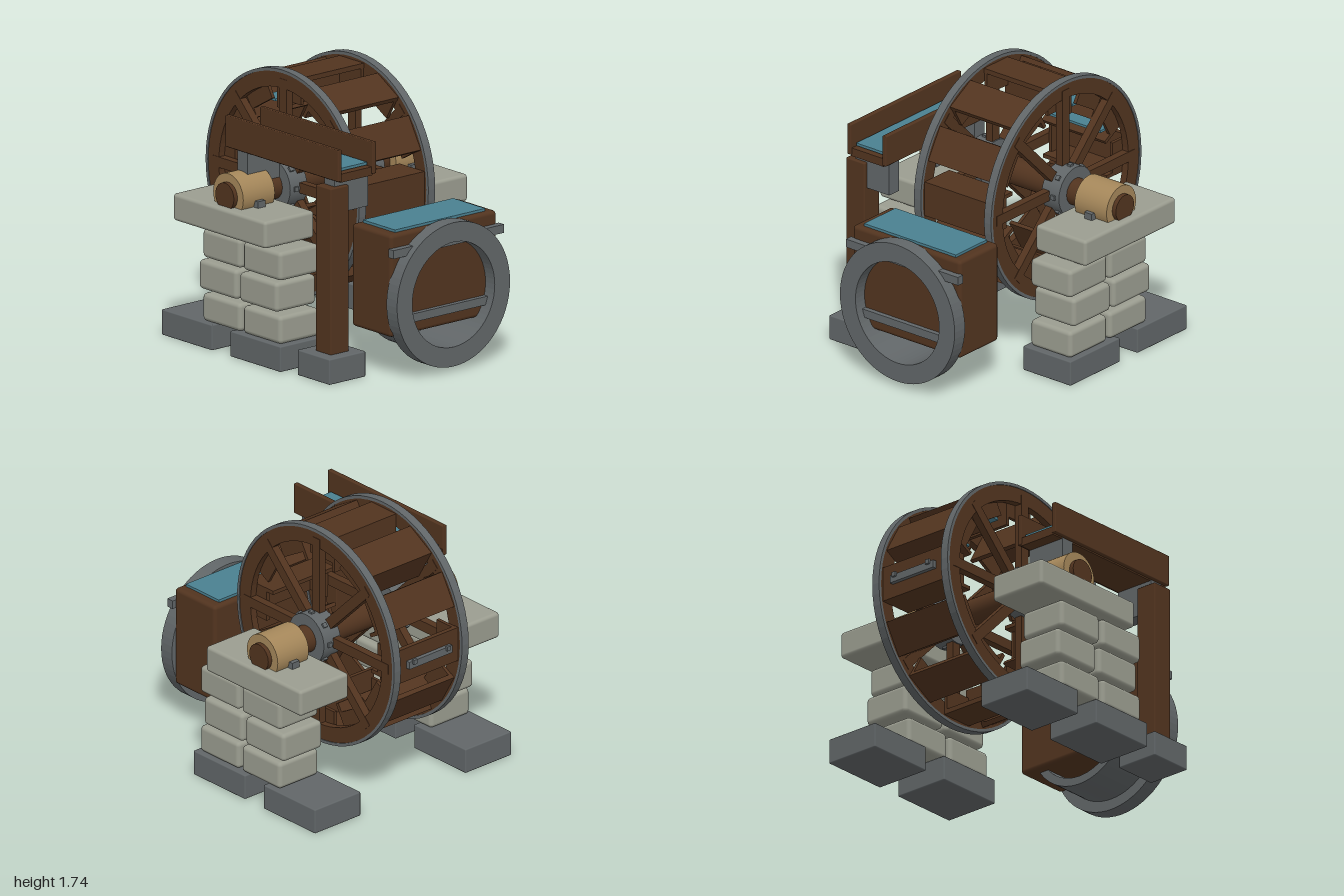
import * as THREE from 'three';
import { RoundedBoxGeometry } from 'three/addons/geometries/RoundedBoxGeometry.js';

const mat = (name, color) => {
  const m = new THREE.MeshStandardMaterial({ color });
  m.name = name;
  return m;
};

export function createModel() {
  const root = new THREE.Group();
  root.name = 'waterMill';
  const wood = mat('darkWood', 0x52341f);
  const iron = mat('iron', 0x616668);
  const stone = mat('stone', 0x9b9d90);
  const tan = mat('paleWood', 0xa5875a);
  const water = mat('water', 0x4a8090);

  const add = (parent, name, geo, material) => {
    const m = new THREE.Mesh(geo, material);
    m.name = name;
    parent.add(m);
    return m;
  };
  // Box given by its min and max on each axis; r rounds the edges
  const box = (parent, name, material, x0, x1, y0, y1, z0, z1, r = 0) => {
    const s = [x1 - x0, y1 - y0, z1 - z0];
    const geo = r ? new RoundedBoxGeometry(...s, 2, r) : new THREE.BoxGeometry(...s);
    const m = add(parent, name, geo, material);
    m.position.set((x0 + x1) / 2, (y0 + y1) / 2, (z0 + z1) / 2);
    return m;
  };
  // Flat ring centred on the origin with its axis along z
  const ringGeo = (outer, inner, depth) => {
    const s = new THREE.Shape().absarc(0, 0, outer, 0, Math.PI * 2, false);
    s.holes.push(new THREE.Path().absarc(0, 0, inner, 0, Math.PI * 2, true));
    return new THREE.ExtrudeGeometry(s, { depth, bevelEnabled: false, curveSegments: 32 })
      .translate(0, 0, -depth / 2);
  };
  const wheelRing = (outer, inner, width) => ringGeo(outer, inner, width).rotateY(Math.PI / 2);
  const axle = (parent, name, material, radius, x0, x1) => {
    const m = add(parent, name,
      new THREE.CylinderGeometry(radius, radius, x1 - x0, 32).rotateZ(Math.PI / 2), material);
    m.position.x = (x0 + x1) / 2;
    return m;
  };
  // Group turned so that local z points outward and local y along the rim
  const radial = (parent, name, angle) => {
    const g = new THREE.Group();
    g.name = name;
    g.rotation.x = -angle;
    parent.add(g);
    return g;
  };

  // Wheel
  const wheel = new THREE.Group();
  wheel.name = 'wheel';
  wheel.position.set(0, 1.01, -0.265);
  root.add(wheel);
  axle(wheel, 'shaft', wood, 0.088, -0.79, 0.79);
  for (const s of [-1, 1]) {
    add(wheel, 'tyre', wheelRing(0.73, 0.71, 0.056), iron).position.x = s * 0.285;
    add(wheel, 'rim', wheelRing(0.712, 0.61, 0.046), wood).position.x = s * 0.285;
    axle(wheel, 'hub', iron, 0.163, s > 0 ? 0.25 : -0.39, s > 0 ? 0.39 : -0.25);
    axle(wheel, 'bearing', tan, 0.143, s > 0 ? 0.5 : -0.76, s > 0 ? 0.76 : -0.5);
    for (let i = 0; i < 8; i++) {
      const g = radial(wheel, 'spokeArm', i * Math.PI / 4);
      const x = s * 0.285;
      box(g, 'spoke', wood, x - 0.026, x + 0.026, -0.034, 0.034, 0.12, 0.67);
      box(g, 'hubBoss', iron, s * 0.345 - 0.015, s * 0.345 + 0.015, -0.015, 0.015, 0.15, 0.175);
    }
  }

  // Buckets around the rim
  for (let i = 0; i < 12; i++) {
    const g = radial(wheel, 'bucket', i * Math.PI / 6);
    box(g, 'outerBoard', wood, -0.258, 0.258, -0.115, 0.115, 0.66, 0.692);
    box(g, 'dividerBoard', wood, -0.258, 0.258, 0.09, 0.115, 0.455, 0.665);
    for (const s of [-1, 1])
      box(g, 'bucketEnd', wood, s * 0.247 - 0.011, s * 0.247 + 0.011, -0.112, 0.112, 0.515, 0.665);
  }
  // Water lying in the buckets under the flow
  for (const [y, z] of [[0.485, -0.22], [0.21, -0.49]])
    box(wheel, 'bucketWater', water, -0.23, 0.23, y - 0.008, y + 0.008, z - 0.06, z + 0.06);
  // Repair plate on the back board
  box(wheel, 'repairPlate', iron, -0.185, 0.175, -0.025, 0.025, -0.72, -0.69);
  for (const x of [-0.145, 0.135])
    box(wheel, 'plateBolt', iron, x - 0.015, x + 0.015, 0.005, 0.035, -0.735, -0.715);

  // Stone piers
  const rows = [[0.165, 0.345, 0], [0.365, 0.555, -0.035], [0.575, 0.76, 0]];
  for (const s of [-1, 1]) {
    const pier = new THREE.Group();
    pier.name = s > 0 ? 'leftPier' : 'rightPier';
    root.add(pier);
    const slab = (name, m, a, b, ...rest) =>
      box(pier, name, m, s > 0 ? a : -b, s > 0 ? b : -a, ...rest);
    slab('footing', iron, 0.44, 0.825, 0, 0.165, -0.175, 0.305, 0.008);
    slab('footing', iron, 0.44, 0.825, 0, 0.165, -0.825, -0.345, 0.008);
    for (const [y0, y1, dz] of rows) {
      slab('stoneBlock', stone, 0.47, 0.8, y0, y1, -0.085 + dz, 0.275 + dz, 0.028);
      slab('stoneBlock', stone, 0.47, 0.8, y0, y1, -0.47 + dz, -0.11 + dz, 0.028);
    }
    slab('capStone', stone, 0.43, 0.838, 0.77, 0.945, -0.705, 0.175, 0.022);
    slab('bearingClamp', iron, 0.602, 0.662, 0.94, 0.988, -0.435, -0.095);
  }

  // Flume with its post and brackets
  const flume = new THREE.Group();
  flume.name = 'flume';
  root.add(flume);
  box(flume, 'postFoot', iron, -0.785, -0.485, 0, 0.165, 0.42, 0.725, 0.008);
  box(flume, 'post', wood, -0.71, -0.56, 0.16, 1.24, 0.505, 0.652, 0.008);
  box(flume, 'bracket', iron, -0.655, -0.38, 1.065, 1.28, 0.53, 0.625);
  box(flume, 'bracket', iron, -0.655, -0.38, 1.065, 1.28, -0.3, -0.205);
  box(flume, 'flumeFloor', wood, -0.65, -0.385, 1.275, 1.33, -0.385, 0.672);
  for (const x of [-0.66, -0.375])
    box(flume, 'flumeSide', wood, x - 0.016, x + 0.016, 1.285, 1.49, -0.39, 0.682, 0.006);
  box(flume, 'flumeWater', water, -0.635, -0.4, 1.338, 1.356, -0.36, 0.64);

  // Water tank with iron straps and a round mouth
  const tank = new THREE.Group();
  tank.name = 'tank';
  root.add(tank);
  box(tank, 'tankBody', wood, -0.44, 0.436, 0.28, 0.945, 0.535, 0.912, 0.025);
  box(tank, 'tankWater', water, -0.375, 0.37, 0.94, 0.962, 0.57, 0.875);
  box(tank, 'upperStrap', iron, -0.455, 0.455, 0.805, 0.86, 0.905, 0.955);
  box(tank, 'lowerStrap', iron, -0.44, 0.44, 0.362, 0.416, 0.905, 0.945);
  add(tank, 'mouthRing', ringGeo(0.466, 0.34, 0.1), iron).position.set(0, 0.5, 0.95);
  add(tank, 'mouthPipe', ringGeo(0.395, 0.341, 0.31), iron).position.set(0, 0.5, 0.755);

  return root;
}
